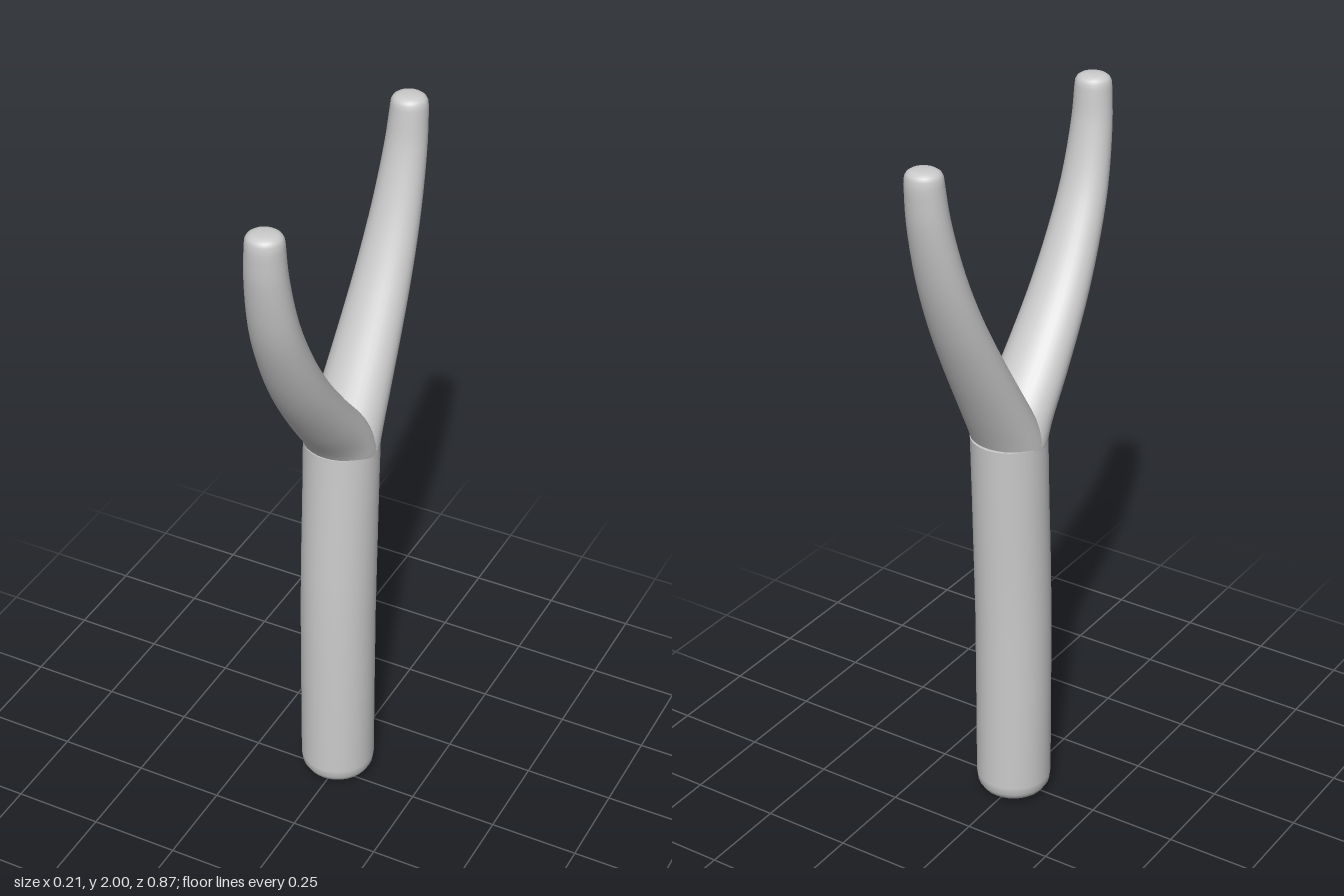
import * as THREE from 'three';

const SIDES = 32;
const UP = new THREE.Vector3(0, 1, 0);

// Skin a row of elliptical rings, ordered from bottom to top
function loft(rings) {
  const pos = [], index = [];
  for (const { c, t, rx, rn } of rings) {
    for (let i = 0; i < SIDES; i++) {
      const a = (i / SIDES) * Math.PI * 2;
      const s = Math.sin(a) * rn;
      pos.push(c.x + Math.cos(a) * rx, c.y - t.z * s, c.z + t.y * s);
    }
  }
  for (let j = 0; j < rings.length - 1; j++) {
    for (let i = 0; i < SIDES; i++) {
      const k = (i + 1) % SIDES;
      const a = j * SIDES + i, b = j * SIDES + k;
      index.push(a, a + SIDES, b, b, a + SIDES, b + SIDES);
    }
  }
  const g = new THREE.BufferGeometry();
  g.setAttribute('position', new THREE.Float32BufferAttribute(pos, 3));
  g.setIndex(index);
  g.computeVertexNormals();
  return g;
}

// Handle: round stick with a domed foot, bending slightly back near the top
function handleGeometry() {
  const profile = [
    [0, 0, -0.024], [0.002, 0.035, -0.024], [0.01, 0.068, -0.024], [0.022, 0.09, -0.024],
    [0.04, 0.101, -0.024], [0.065, 0.104, -0.024], [0.35, 0.104, -0.024], [0.58, 0.104, -0.025],
    [0.75, 0.104, -0.03], [0.95, 0.103, -0.038], [1.14, 0.103, -0.045],
    [1.14, 0.103, -0.045], [1.14, 0, -0.045], // flat top with a sharp rim
  ];
  return loft(profile.map(([y, r, z]) => ({ c: new THREE.Vector3(-0.002, y, z), t: UP, rx: r, rn: r })));
}

// Prong: curved branch, wide at the fork and narrowing to a rounded tip
function prongGeometry(path) {
  const curve = new THREE.CatmullRomCurve3(path.map(([z, y]) => {
    const k = Math.max(0, (y - 1.14) / 0.86);
    return new THREE.Vector3(-0.002 + 0.018 * k, y, z);
  }));
  const rings = [];
  const steps = 28;
  for (let i = 0; i <= steps; i++) {
    const c = curve.getPoint(i / steps);
    const t = curve.getTangent(i / steps);
    t.x = 0;
    t.normalize();
    const k = Math.max(0, (c.y - 1.14) / 0.86);
    rings.push({ c, t, rx: 0.103 - 0.055 * k, rn: 0.047 + 0.031 * (1 - k) ** 1.6 });
  }
  // rounded tip
  const end = rings[steps];
  for (const [y, f] of [[1.982, 0.96], [1.991, 0.86], [1.997, 0.68], [1.9995, 0.4], [2, 0]]) {
    rings.push({ c: new THREE.Vector3(end.c.x, y, end.c.z), t: UP, rx: end.rx * f, rn: end.rn * f });
  }
  return loft(rings);
}

export function createModel() {
  const group = new THREE.Group();
  group.name = 'forkedStick';
  const material = new THREE.MeshStandardMaterial({ color: 0xcccccc });
  const add = (name, geometry) => {
    const mesh = new THREE.Mesh(geometry, material);
    mesh.name = name;
    group.add(mesh);
  };

  add('handle', handleGeometry());

  // Prong centre lines as [z, y]
  add('frontProng', prongGeometry([
    [-0.04, 1.13], [-0.003, 1.19], [0.085, 1.294], [0.196, 1.44],
    [0.275, 1.572], [0.339, 1.714], [0.378, 1.873], [0.386, 1.965],
  ]));
  add('backProng', prongGeometry([
    [-0.04, 1.11], [-0.066, 1.165], [-0.127, 1.275], [-0.206, 1.418],
    [-0.275, 1.556], [-0.333, 1.704], [-0.374, 1.862], [-0.386, 1.965],
  ]));

  return group;
}
